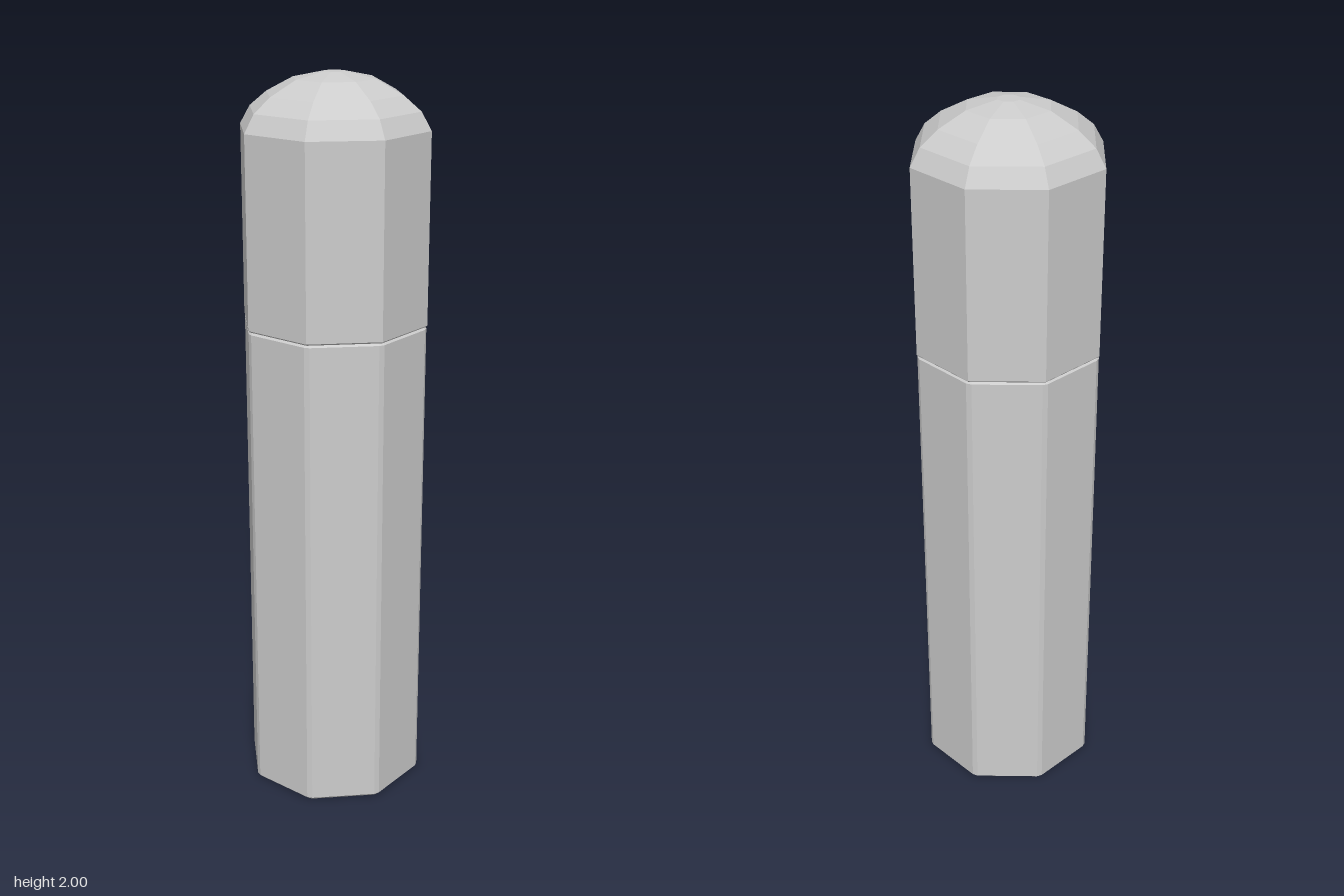
import * as THREE from 'three';

export function createModel() {
  const group = new THREE.Group();
  const grey = new THREE.MeshStandardMaterial({ color: 0xcccccc, flatShading: true });
  grey.name = 'grey';

  // Octagonal shaft with narrow bevels on all edges
  const bevel = 0.008;
  const points = [];
  for (let i = 0; i < 8; i++) {
    for (const side of [-1, 1]) {
      const a = (i * Math.PI) / 4 + side * 0.03;
      points.push(new THREE.Vector2(Math.cos(a), Math.sin(a)).multiplyScalar(0.251));
    }
  }
  const shaft = new THREE.ExtrudeGeometry(new THREE.Shape(points), {
    depth: 1.352 - 2 * bevel,
    bevelSize: bevel,
    bevelThickness: bevel,
    bevelOffset: -bevel,
    bevelSegments: 1,
  });
  shaft.rotateX(-Math.PI / 2).translate(0, bevel, 0);
  const body = new THREE.Mesh(shaft, grey);
  body.name = 'body';

  // Slightly wider cap with a faceted dome
  const profile = [
    [0, 1.35], [0.251, 1.35], [0.255, 1.354], [0.255, 1.86], [0.228, 1.907],
    [0.182, 1.945], [0.11, 1.983], [0.029, 2], [0, 2],
  ].map(([r, y]) => new THREE.Vector2(r, y));
  const cap = new THREE.Mesh(new THREE.LatheGeometry(profile, 8), grey);
  cap.name = 'cap';

  group.add(body, cap);
  return group;
}
